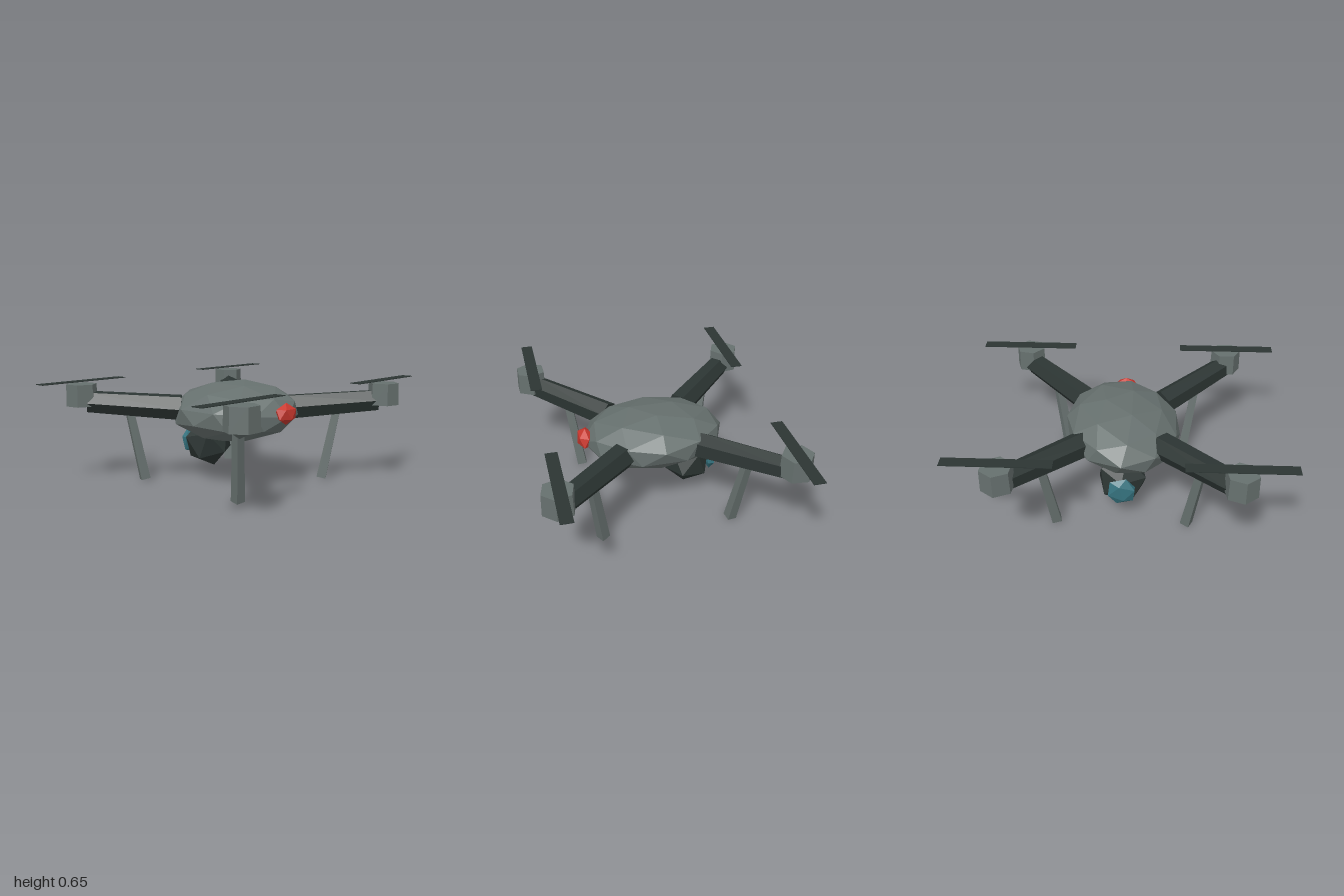
import * as THREE from 'three';

const mat = (name, color) => {
  const m = new THREE.MeshStandardMaterial({ color, flatShading: true });
  m.name = name;
  return m;
};

export function createModel() {
  const grey = mat('shell grey', 0x66706e);
  const dark = mat('dark grey', 0x2c3533);
  const red = mat('signal red', 0xc8372d);
  const teal = mat('lens teal', 0x35727e);
  const drone = new THREE.Group();
  drone.name = 'quadcopter';

  const add = (name, geometry, material, x = 0, y = 0, z = 0) => {
    const mesh = new THREE.Mesh(geometry, material);
    mesh.name = name;
    mesh.position.set(x, y, z);
    drone.add(mesh);
    return mesh;
  };

  // Icosahedron turned so that one corner points straight up
  const poleUp = (detail) => new THREE.IcosahedronGeometry(1, detail).rotateZ(-0.5536);

  // Tapered prism running from point a to point b
  const strut = (name, a, b, ra, rb, sides, material, twist) => {
    const dir = b.clone().sub(a);
    const g = new THREE.CylinderGeometry(rb, ra, dir.length(), sides).rotateY(twist);
    const mesh = add(name, g, material);
    mesh.position.copy(a).add(b).multiplyScalar(0.5);
    mesh.quaternion.setFromUnitVectors(new THREE.Vector3(0, 1, 0), dir.normalize());
  };

  // Flattened shell, its crown leaning to one side
  const shell = poleUp(1).applyMatrix4(new THREE.Matrix4().set(
    0.35, 0.11, 0, 0,
    -0.024, 0.189, 0, 0,
    0, 0, 0.455, 0,
    0, 0, 0, 1));
  add('body', shell, grey, 0, 0.457, 0);

  // Front light
  add('frontLight', poleUp(0).rotateY(0.3).scale(0.088, 0.068, 0.055), red, 0, 0.477, 0.435);

  // Camera ball and lens under the rear
  add('camera', poleUp(0).rotateY(0.25).rotateX(-0.15).rotateZ(0.17).scale(0.168, 0.168, 0.16), dark, 0, 0.22, -0.23);
  add('cameraLens', poleUp(0).rotateZ(0.3).scale(0.1, 0.1, 0.037), teal, 0, 0.22, -0.382);

  // Four corners: arm, motor, rotor and leg
  let corner = 0;
  for (const sx of [-1, 1]) {
    for (const sz of [-1, 1]) {
      const at = (x, y, z) => new THREE.Vector3(sx * x, y, sz * z);
      strut('arm', at(0.24, 0.475, 0.24), at(0.66, 0.517, 0.66), 0.086, 0.073, 6, dark, 0.2);
      const motor = new THREE.CylinderGeometry(0.098, 0.102, 0.14, 6).rotateY(0.15 + corner * 0.4);
      add('motor', motor, grey, sx * 0.685, 0.56, sz * 0.692);
      add('rotor', new THREE.BoxGeometry(0.635, 0.004, 0.074), dark, sx * 0.6825, 0.65, sz * 0.683);
      strut('leg', at(0.408, 0.006, 0.412), at(0.475, 0.46, 0.475), 0.042, 0.034, 4, grey, 0.3 + corner * 0.35);
      corner++;
    }
  }
  return drone;
}
